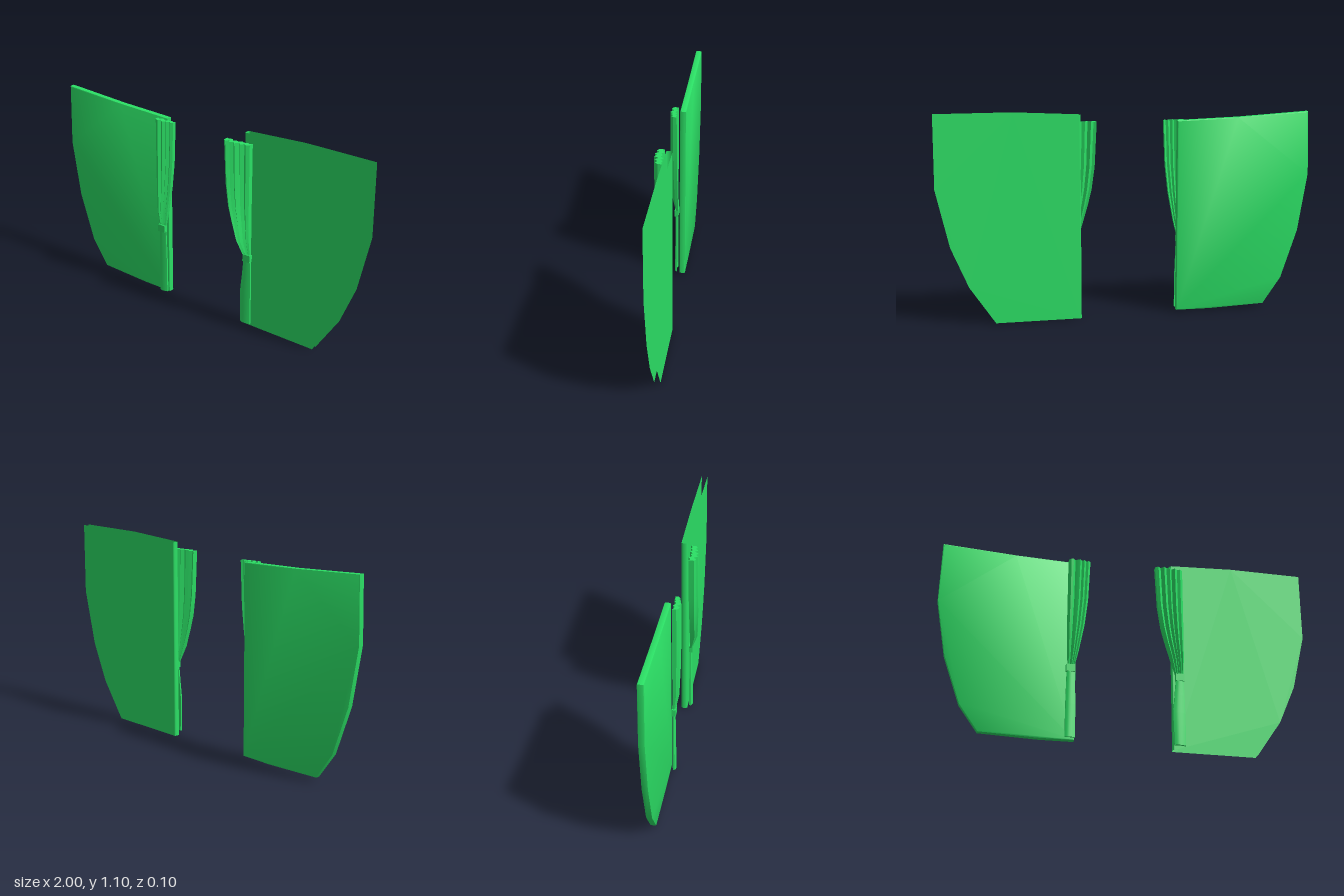
import * as THREE from 'three';
import { toCreasedNormals } from 'three/addons/utils/BufferGeometryUtils.js';

const material = new THREE.MeshStandardMaterial({ color: 0x2be065, side: THREE.DoubleSide });

function add(parent, name, geometry) {
  const mesh = new THREE.Mesh(geometry, material);
  mesh.name = name;
  parent.add(mesh);
  return mesh;
}

const outline = pts => new THREE.Shape(pts.map(p => new THREE.Vector2(...p)));

// Loft through closed loops of [x, y, z]; loops run along the front, then back.
// Ends are closed by joining each front point to its opposite back point.
function loft(loops) {
  const n = loops[0].length, index = [];
  const quad = (a, b, c, d) => index.push(a, b, c, a, c, d);
  for (let r = 0; r < loops.length - 1; r++)
    for (let j = 0; j < n; j++) {
      const a = r * n + j, b = r * n + (j + 1) % n;
      quad(a, b, b + n, a + n);
    }
  const last = (loops.length - 1) * n;
  for (let j = 0; j < n / 2 - 1; j++) {
    const k = n - 1 - j;
    quad(j, k, k - 1, j + 1);
    quad(last + j, last + j + 1, last + k - 1, last + k);
  }
  const g = new THREE.BufferGeometry();
  g.setAttribute('position', new THREE.Float32BufferAttribute(loops.flat(2), 3));
  g.setIndex(index);
  return toCreasedNormals(g, 0.5);
}

// Pleated cloth between two x limits; rows are [y, x0, x1, zBack, zFront]
function pleatedCloth(rows, folds) {
  return loft(rows.map(([y, x0, x1, zb, zf]) => {
    const front = [], back = [], m = folds.length - 1;
    folds.forEach((f, j) => {
      const x = x0 + (x1 - x0) * j / m;
      const depth = zf - zb;
      front.push([x, y, zb + depth * (0.45 + 0.55 * f)]);
      back.unshift([x, y, zb + depth * 0.4 * f]);
    });
    return [...front, ...back];
  }));
}

export function createModel() {
  const model = new THREE.Group();

  // Right-hand curtain: closed padded panel
  const right = new THREE.Group();
  right.name = 'rightCurtain';
  const rightShape = outline([
    [-0.265, 0.012], [-0.265, 1.035], [-0.6, 1.045], [-0.99, 1.067], [-0.998, 0.73],
    [-0.945, 0.42], [-0.855, 0.16], [-0.755, 0.02], [-0.45, 0.01]]);
  const slab = new THREE.ExtrudeGeometry(rightShape, {
    depth: 0.021, bevelThickness: 0.006, bevelSize: 0.005, bevelOffset: -0.005, bevelSegments: 2 });
  slab.translate(0, 0, -0.042);
  add(right, 'rightPanel', toCreasedNormals(slab, 0.6));

  // Left-hand curtain: two open sheets joined by a fold at the inner edge
  const left = new THREE.Group();
  left.name = 'leftCurtain';
  const leftShape = outline([
    [0.258, 0], [0.705, 0.002], [0.84, 0.2], [0.93, 0.41], [1, 0.71],
    [1, 1.095], [0.6, 1.095], [0.258, 1.077]]);
  for (const [name, z] of [['leftFrontSheet', -0.014], ['leftBackSheet', -0.046]]) {
    const sheet = new THREE.ShapeGeometry(leftShape);
    sheet.translate(0, 0, z);
    add(left, name, sheet);
  }
  const fold = new THREE.CylinderGeometry(0.016, 0.016, 1.077, 8, 1, true, Math.PI, Math.PI);
  fold.scale(0.5, 1, 1);
  fold.translate(0.258, 0.5385, -0.03);
  add(left, 'leftInnerFold', fold);

  // Gathered drapes: flared top, tie and straight tail
  const leftFolds = [0.45, 0.8, 0.3, 1, 0.55, 0.95, 0.15, 0.75, 0.2, 0.5, 0.05];
  add(left, 'leftDrape', pleatedCloth([
    [0.41, 0.265, 0.308, -0.005, 0.012], [0.5, 0.235, 0.31, -0.005, 0.042],
    [0.6, 0.205, 0.31, -0.004, 0.046], [0.68, 0.185, 0.31, -0.004, 0.05],
    [0.8, 0.168, 0.31, -0.004, 0.05], [1.033, 0.156, 0.31, -0.004, 0.05]], leftFolds));
  add(left, 'leftTail', pleatedCloth([
    [0.02, 0.254, 0.315, -0.005, 0.016], [0.2, 0.25, 0.315, -0.004, 0.014],
    [0.3, 0.26, 0.313, -0.004, 0.011], [0.39, 0.268, 0.31, -0.004, 0.01]],
    [0.3, 0.8, 1, 0.8, 0.6, 0.2]));

  const rightFolds = [0.3, 0.8, 0.85, 0.25, 0.7, 1, 0.35, 0.75, 0.15, 0.5, 0.1];
  add(right, 'rightDrape', pleatedCloth([
    [0.41, -0.31, -0.275, -0.008, 0.01], [0.5, -0.315, -0.255, -0.008, 0.028],
    [0.65, -0.318, -0.227, -0.008, 0.033], [0.8, -0.318, -0.21, -0.008, 0.035],
    [1.033, -0.318, -0.2, -0.008, 0.035]], rightFolds));
  add(right, 'rightTail', pleatedCloth([
    [0.02, -0.318, -0.265, -0.005, 0.014], [0.2, -0.318, -0.266, -0.005, 0.012],
    [0.39, -0.315, -0.272, -0.004, 0.01]],
    [0.2, 0.8, 1, 0.8, 0.6, 0.2]));

  for (const [group, name, x] of [[left, 'leftTie', 0.29], [right, 'rightTie', -0.296]]) {
    const tie = add(group, name, new THREE.BoxGeometry(0.046, 0.04, 0.021));
    tie.position.set(x, 0.4, 0.003);
  }

  model.add(left, right);
  return model;
}
